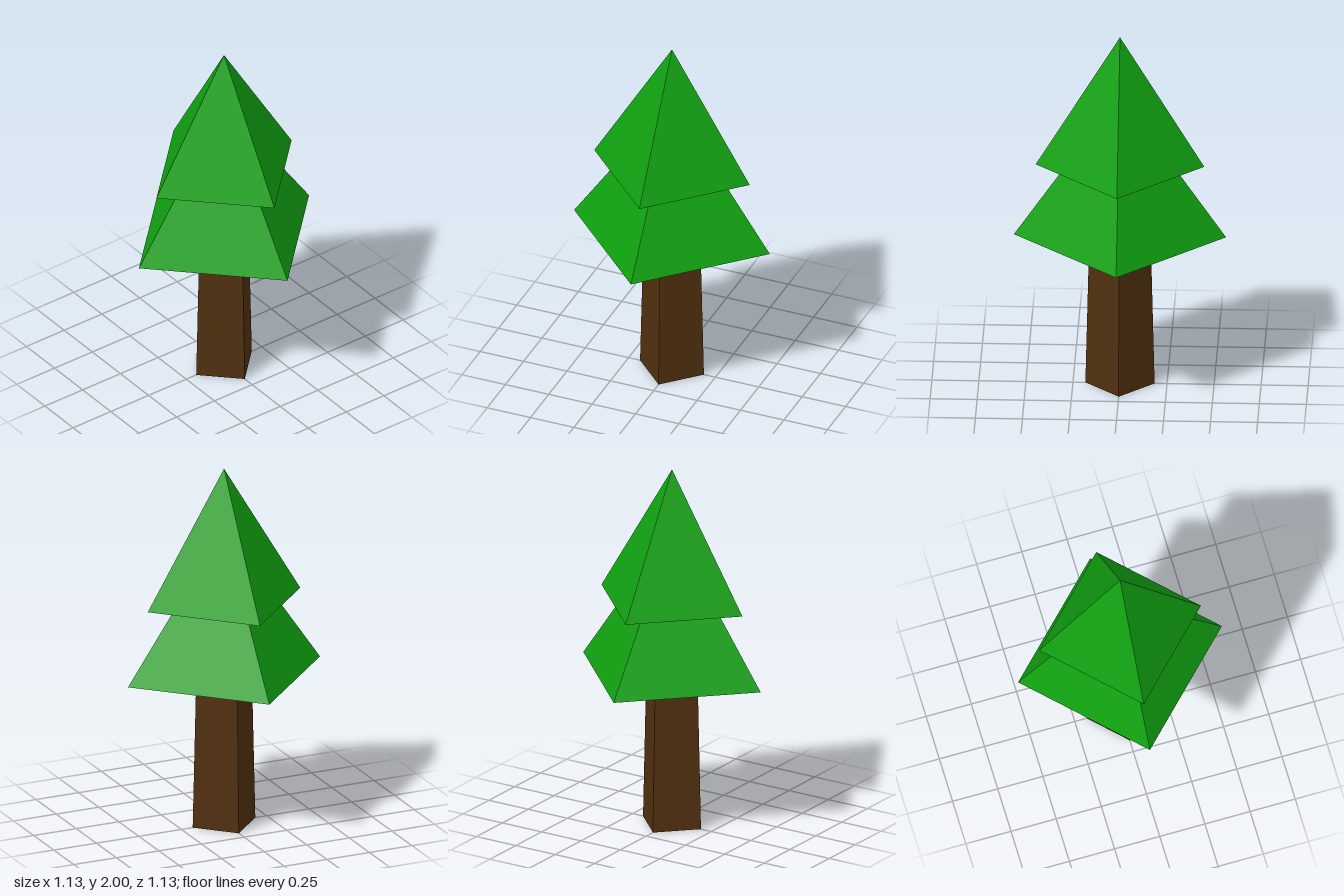
import * as THREE from 'three';

export function createModel() {
  const tree = new THREE.Group();
  tree.name = 'pineTree';

  const leafGreen = new THREE.MeshStandardMaterial({ color: 0x10a010 });
  leafGreen.name = 'leafGreen';
  const barkBrown = new THREE.MeshStandardMaterial({ color: 0x50300f });
  barkBrown.name = 'barkBrown';

  // Four-sided tapered solid with its corners on the x and z axes
  function addTier(name, topRadius, bottomRadius, bottom, top, material) {
    const shape = topRadius > 0
      ? new THREE.CylinderGeometry(topRadius, bottomRadius, top - bottom, 4)
      : new THREE.ConeGeometry(bottomRadius, top - bottom, 4);
    const geometry = shape.toNonIndexed(); // faceted sides
    geometry.computeVertexNormals();
    const mesh = new THREE.Mesh(geometry, material);
    mesh.name = name;
    mesh.position.y = (bottom + top) / 2;
    tree.add(mesh);
  }

  addTier('trunk', 0.163, 0.184, 0, 0.853, barkBrown);
  addTier('lowerFoliage', 0, 0.564, 0.852, 1.67, leafGreen);
  addTier('upperFoliage', 0, 0.448, 1.258, 2, leafGreen);

  return tree;
}
